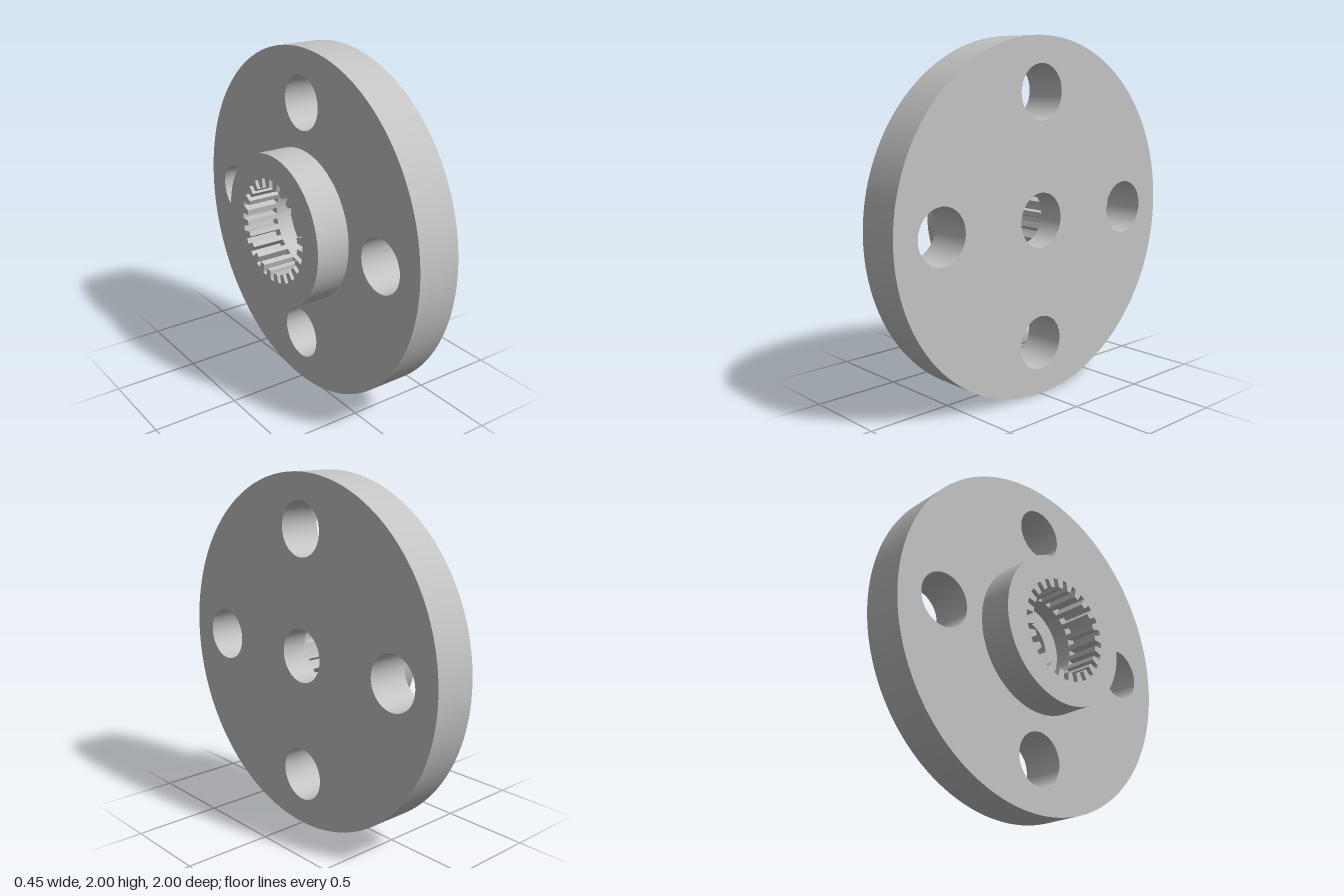
import * as THREE from 'three';
import { toCreasedNormals } from 'three/addons/utils/BufferGeometryUtils.js';

const steel = new THREE.MeshStandardMaterial({ color: 0xc4c4c4 });
steel.name = 'steel';

const HOLE = 0.153, BORE = 0.25, ROOT = 0.3, TEETH = 24;

function circlePath(x, y, r) {
  return new THREE.Path().absarc(x, y, r, 0, Math.PI * 2, true);
}

function roundShape(r, holes) {
  const shape = new THREE.Shape().absarc(0, 0, r, 0, Math.PI * 2, false);
  shape.holes.push(...holes);
  return shape;
}

// Extrudes a profile along x from x0 to x1
function plate(name, shape, x0, x1) {
  let geo = new THREE.ExtrudeGeometry(shape, { depth: x1 - x0, bevelEnabled: false, curveSegments: 80 });
  geo = toCreasedNormals(geo, 0.4);
  geo.rotateY(Math.PI / 2);
  geo.translate(x0, 1, 0);
  const mesh = new THREE.Mesh(geo, steel);
  mesh.name = name;
  return mesh;
}

// Toothed outline of the splined socket
function splinePath() {
  const pts = [];
  const step = (Math.PI * 2) / TEETH;
  for (let i = 0; i < TEETH; i++) {
    for (const [f, r] of [[-0.27, BORE], [-0.2, ROOT], [0.2, ROOT], [0.27, BORE]]) {
      const a = (i + f) * step;
      pts.push(new THREE.Vector2(r * Math.cos(a), r * Math.sin(a)));
    }
  }
  return new THREE.Path(pts.reverse());
}

export function createModel() {
  const group = new THREE.Group();
  group.name = 'splinedFlange';

  // Four bolt holes around the axis
  const boltHoles = () => [0, 1, 2, 3].map((i) => {
    const a = (i * Math.PI) / 2;
    return circlePath(0.7 * Math.cos(a), 0.7 * Math.sin(a), HOLE);
  });

  // Disc in two layers: recessed bore behind the hub, then the narrow centre hole
  group.add(plate('flangeInner', roundShape(1, [circlePath(0, 0, BORE), ...boltHoles()]), -0.025, 0.075));
  group.add(plate('flangeOuter', roundShape(1, [circlePath(0, 0, HOLE), ...boltHoles()]), 0.075, 0.225));

  // Hub with internal teeth
  group.add(plate('splinedHub', roundShape(0.44, [splinePath()]), -0.225, -0.025));
  return group;
}
